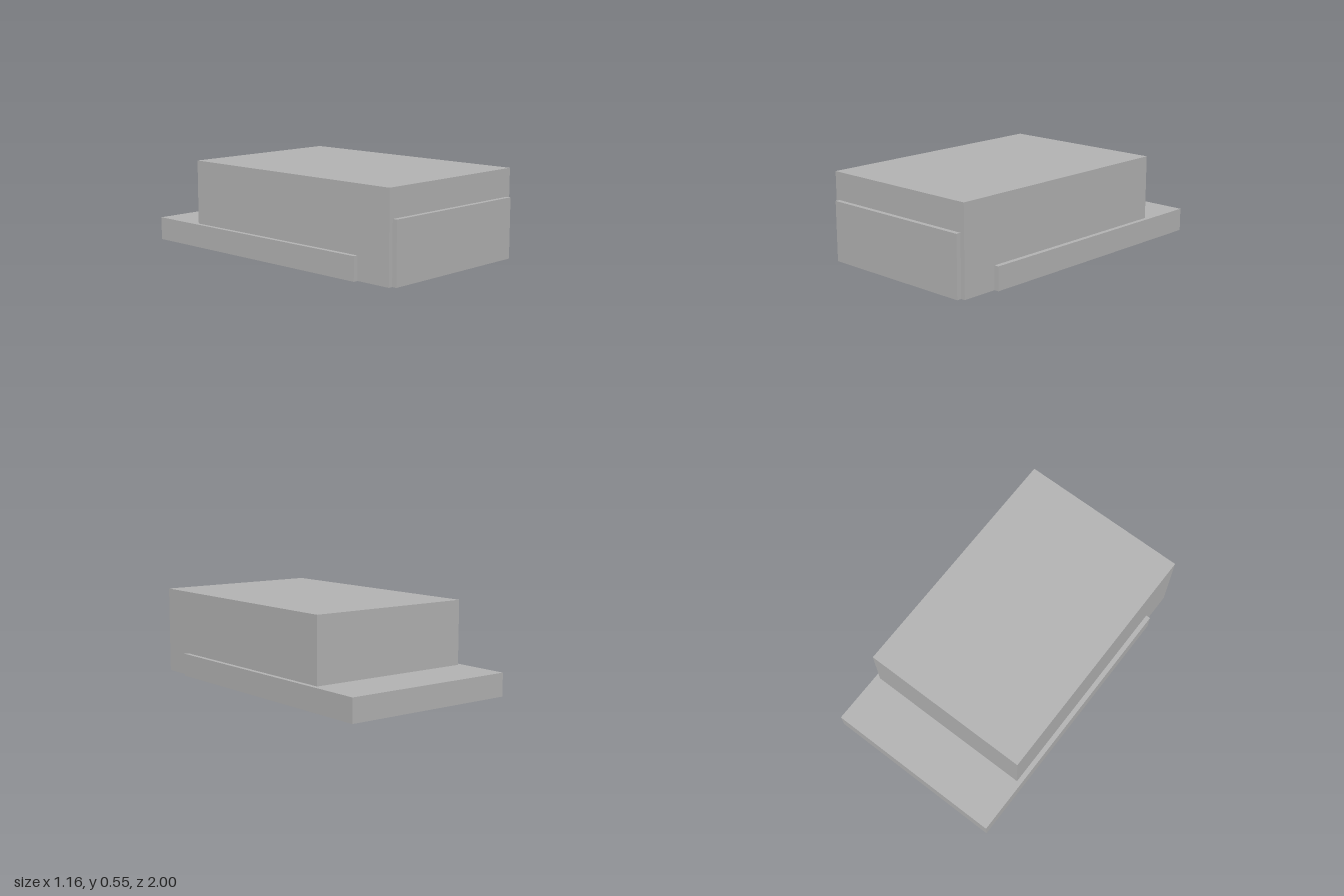
import * as THREE from 'three';

export function createModel() {
  const group = new THREE.Group();
  const grey = new THREE.MeshStandardMaterial({ color: 0xb2b2b2 });
  grey.name = 'plain grey';

  // Box standing on the ground, between two z positions
  function block(name, width, height, zBack, zFront) {
    const mesh = new THREE.Mesh(new THREE.BoxGeometry(width, height, zFront - zBack), grey);
    mesh.name = name;
    mesh.position.set(0, height / 2, (zBack + zFront) / 2);
    group.add(mesh);
  }

  block('mainBody', 1.1, 0.552, -0.65, 0.97);
  // Low plinth, projecting at the back and slightly at both sides
  block('basePlinth', 1.16, 0.146, -1, 0.737);
  // Thin raised panel on the front face
  block('frontPanel', 1.044, 0.378, 0.97, 1);

  return group;
}
